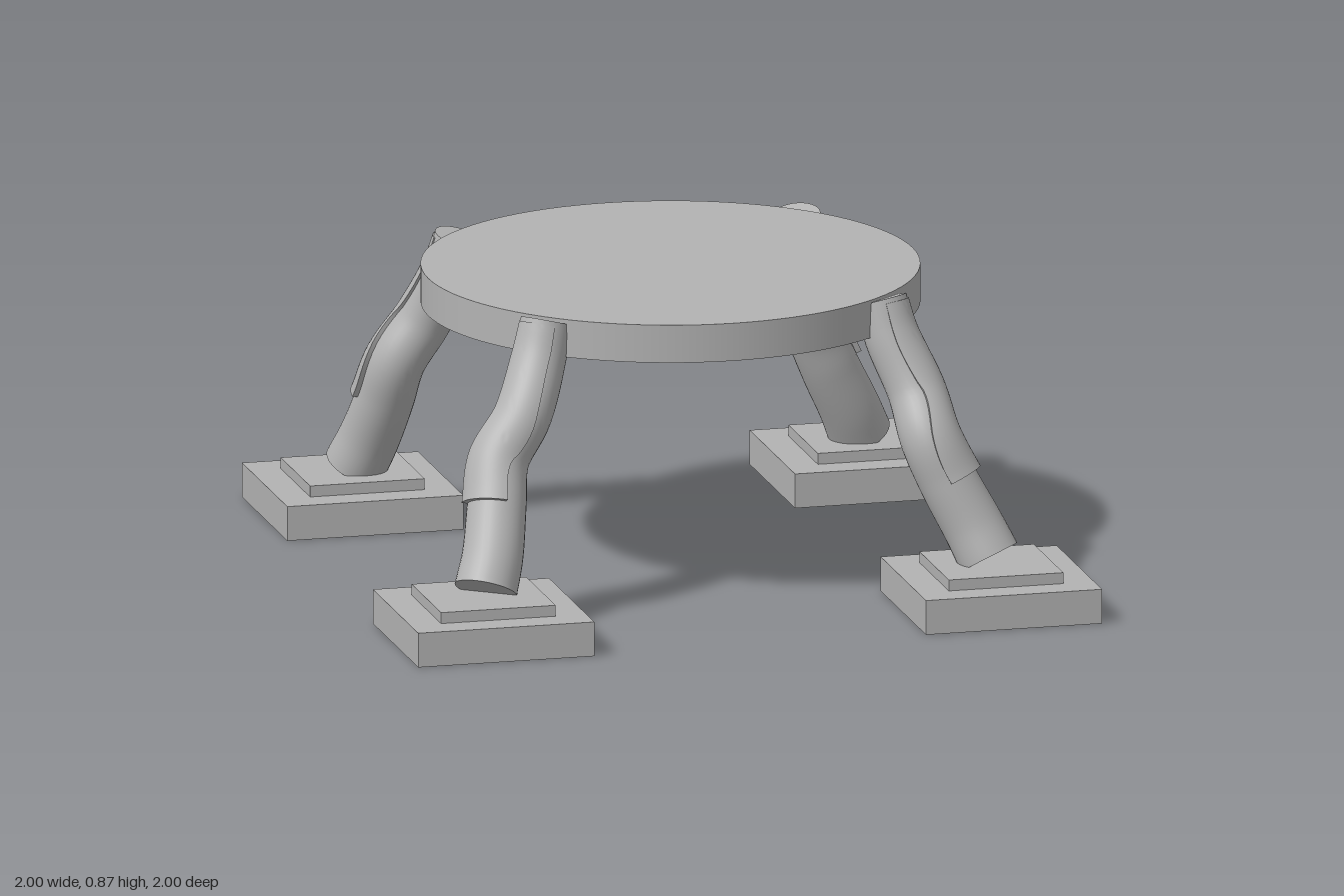
import * as THREE from 'three';
import { toCreasedNormals } from 'three/addons/utils/BufferGeometryUtils.js';

const grey = new THREE.MeshStandardMaterial({ color: 0xb3b3b3 });
grey.name = 'plain grey';

function part(name, geometry, x, y, z) {
  const mesh = new THREE.Mesh(geometry, grey);
  mesh.name = name;
  mesh.position.set(x, y, z);
  return mesh;
}

// Sweeps a convex section down a curve; section(t) gives [outward, sideways] pairs.
function sweep(curve, t0, t1, rings, section) {
  const pos = [], index = [];
  let n = 0;
  for (let i = 0; i <= rings; i++) {
    const t = t0 + (t1 - t0) * i / rings;
    const p = curve.getPoint(t), T = curve.getTangent(t);
    const u = new THREE.Vector3(Math.sign(p.x), 0, Math.sign(p.z)).normalize();
    u.addScaledVector(T, -u.dot(T)).normalize();
    const v = new THREE.Vector3().crossVectors(T, u);
    const pts = section(t);
    n = pts.length;
    for (const [a, b] of pts) {
      const q = p.clone().addScaledVector(u, a).addScaledVector(v, b);
      pos.push(q.x, q.y, q.z);
    }
  }
  for (let i = 0; i < rings; i++) {
    for (let j = 0; j < n; j++) {
      const k = (j + 1) % n, a = i * n, b = a + n;
      index.push(a + j, a + k, b + j, a + k, b + k, b + j);
    }
  }
  const end = rings * n;
  for (let j = 1; j < n - 1; j++) {
    index.push(0, j + 1, j, end, end + j, end + j + 1);
  }
  const g = new THREE.BufferGeometry();
  g.setAttribute('position', new THREE.Float32BufferAttribute(pos, 3));
  g.setIndex(index);
  return toCreasedNormals(g, 0.6);
}

// Centre line of the front left leg, from the top down
const legPath = [
  [0.49, 0.85, 0.49], [0.51, 0.75, 0.515], [0.565, 0.6, 0.575], [0.585, 0.48, 0.65],
  [0.635, 0.36, 0.675], [0.70, 0.23, 0.705], [0.738, 0.145, 0.735],
];
const legRadius = t => 0.073 + 0.017 * t;

function roundSection(t) {
  const r = legRadius(t), pts = [];
  for (let j = 0; j < 32; j++) {
    const a = j / 32 * Math.PI * 2;
    pts.push([r * Math.cos(a), r * Math.sin(a)]);
  }
  return pts;
}

// Raised shell over the outward side of a leg, thicker towards its lower edge
function shellSection(t) {
  const r = legRadius(t) + 0.003 + 0.02 * t, pts = [[0, 0]];
  for (let j = 0; j <= 14; j++) {
    const a = (j / 14 - 0.5) * 1.75;
    pts.push([r * Math.cos(a), r * Math.sin(a)]);
  }
  return pts;
}

function makeLeg(right, back) {
  const points = legPath.map(([x, y, z]) => {
    const px = right ? -z : x, pz = right ? x : z;
    return new THREE.Vector3(px, y, (back ? -pz : pz) - 0.016 * (y - 0.145) / 0.7);
  });
  const curve = new THREE.CatmullRomCurve3(points);
  const leg = new THREE.Group();
  leg.name = (back ? 'back' : 'front') + (right ? 'Right' : 'Left') + 'Leg';
  leg.add(part('legTube', sweep(curve, 0, 1, 40, roundSection), 0, 0, 0));
  leg.add(part('legShell', sweep(curve, 0.02, 0.67, 30, shellSection), 0, 0, 0));
  return leg;
}

export function createModel() {
  const model = new THREE.Group();
  model.name = 'roundTable';

  // Round top and the small hub beneath it
  model.add(part('tableTop', new THREE.CylinderGeometry(0.708, 0.708, 0.11, 96), 0, 0.81, -0.018));
  model.add(part('hub', new THREE.CylinderGeometry(0.163, 0.163, 0.06, 64), 0, 0.73, 0));

  // Wavy legs on stepped square feet
  for (const sx of [-1, 1]) {
    for (const sz of [-1, 1]) {
      model.add(makeLeg(sx < 0, sz < 0));
      const foot = new THREE.Group();
      foot.name = (sz < 0 ? 'back' : 'front') + (sx < 0 ? 'Right' : 'Left') + 'Foot';
      foot.add(part('footBase', new THREE.BoxGeometry(0.515, 0.1, 0.515), sx * 0.7425, 0.05, sz * 0.7425));
      foot.add(part('footStep', new THREE.BoxGeometry(0.335, 0.035, 0.335), sx * 0.7425, 0.1145, sz * 0.7425));
      model.add(foot);
    }
  }
  return model;
}
